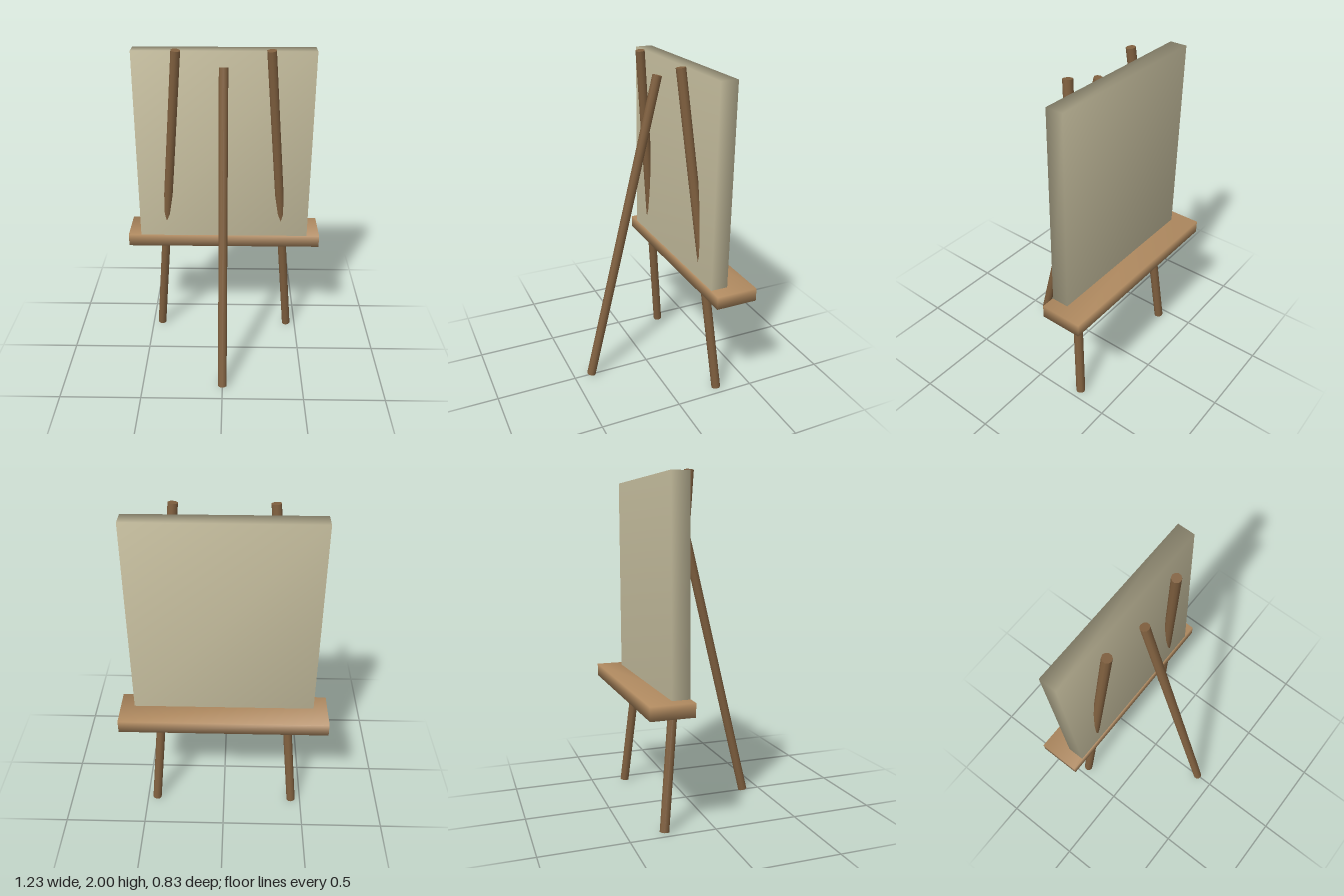
import * as THREE from 'three';
import { mergeVertices } from 'three/addons/utils/BufferGeometryUtils.js';

const material = (color) => new THREE.MeshStandardMaterial({ color });

// Box between two corners, with normals shared softly across its edges
function softBox(name, min, max, mat) {
  const a = new THREE.Vector3(...min), b = new THREE.Vector3(...max);
  const size = b.clone().sub(a);
  let geo = new THREE.BoxGeometry(size.x, size.y, size.z);
  geo.deleteAttribute('normal');
  geo.deleteAttribute('uv');
  geo = mergeVertices(geo);
  geo.computeVertexNormals();
  const mesh = new THREE.Mesh(geo, mat);
  mesh.position.copy(a).add(b).multiplyScalar(0.5);
  mesh.name = name;
  return mesh;
}

// Round pole running from its foot to its top
function pole(name, foot, top, mat) {
  const a = new THREE.Vector3(...foot), b = new THREE.Vector3(...top);
  const dir = b.clone().sub(a);
  const mesh = new THREE.Mesh(new THREE.CylinderGeometry(0.028, 0.028, dir.length(), 10), mat);
  mesh.position.copy(a).add(b).multiplyScalar(0.5);
  mesh.quaternion.setFromUnitVectors(new THREE.Vector3(0, 1, 0), dir.normalize());
  mesh.name = name;
  return mesh;
}

export function createModel() {
  const group = new THREE.Group();
  group.name = 'easel';
  const legWood = material(0x80603f);
  const trayWood = material(0xb08a60);
  const cloth = material(0xc8c0a0);

  // Canvas standing on its ledge
  group.add(softBox('canvas', [-0.535, 0.77, -0.272], [0.535, 1.97, -0.168], cloth));
  group.add(softBox('tray', [-0.617, 0.697, -0.418], [0.617, 0.776, -0.165], trayWood));

  // Splayed pair of legs that pass through the canvas, and the single prop leg
  for (const [name, s] of [['leftLeg', 1], ['rightLeg', -1]]) {
    group.add(pole(name, [s * 0.441, 0.004, -0.287], [s * 0.268, 1.996, -0.08], legWood));
  }
  group.add(pole('propLeg', [0, 0.007, 0.389], [0, 1.904, -0.068], legWood));

  return group;
}
